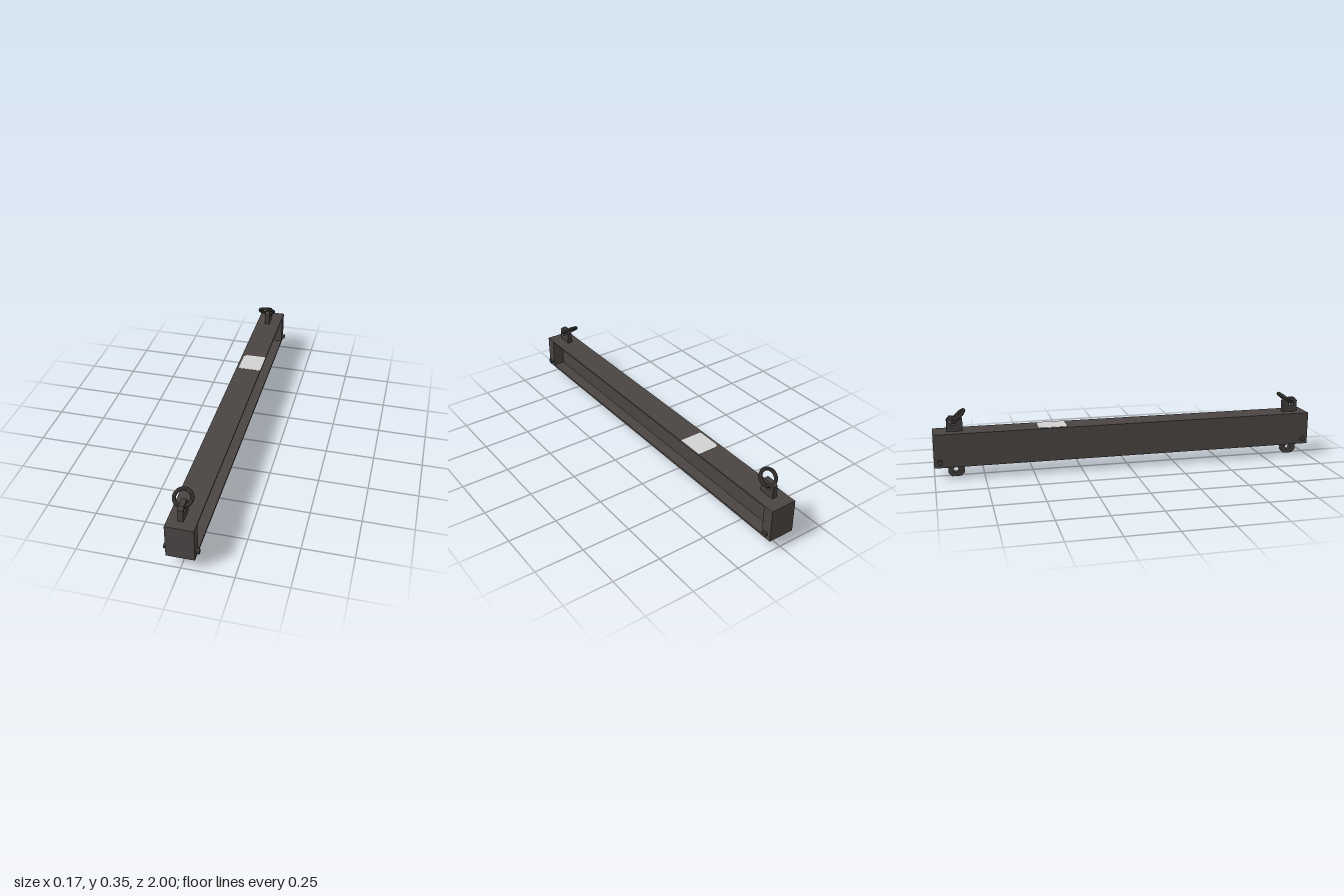
import * as THREE from 'three';

const steel = new THREE.MeshStandardMaterial({ color: 0x4a4543, flatShading: true });
steel.name = 'dark steel';
const hardware = new THREE.MeshStandardMaterial({ color: 0x423e3c, flatShading: true });
hardware.name = 'hardware steel';
const pale = new THREE.MeshStandardMaterial({ color: 0xd2d2d2, flatShading: true });
pale.name = 'pale grey';

function add(parent, name, geometry, material, x = 0, y = 0, z = 0) {
  const mesh = new THREE.Mesh(geometry, material);
  mesh.name = name;
  mesh.position.set(x, y, z);
  parent.add(mesh);
  return mesh;
}

// Closed outline from [u, v] points, with an optional round hole [u, v, r]
function outline(points, hole) {
  const shape = new THREE.Shape(points.map(([u, v]) => new THREE.Vector2(u, v)));
  if (hole) shape.holes.push(new THREE.Path().absarc(hole[0], hole[1], hole[2], 0, Math.PI * 2, true));
  return shape;
}

// Extrudes a (z, y) outline along x, from x0 to x1
function slab(shape, x0, x1) {
  const g = new THREE.ExtrudeGeometry(shape, { depth: x1 - x0, bevelEnabled: false, curveSegments: 8 });
  return g.rotateY(-Math.PI / 2).translate(x1, 0, 0);
}

const LUG_X0 = -0.019, LUG_X1 = 0.007;

export function createModel() {
  const model = new THREE.Group();
  model.name = 'liftingBeam';

  // Beam: channel open towards +x, closed by an end block at each end
  const channel = outline([
    [-0.068, 0.063], [0.068, 0.063], [0.068, 0.074], [0.008, 0.074],
    [0.008, 0.227], [0.068, 0.227], [0.068, 0.235], [-0.068, 0.235],
  ]);
  const beam = new THREE.ExtrudeGeometry(channel, { depth: 1.89, bevelEnabled: false });
  add(model, 'beamChannel', beam, steel, 0, 0, -0.945);

  for (const s of [1, -1]) {
    const end = new THREE.Group();
    end.name = s > 0 ? 'frontEnd' : 'backEnd';
    model.add(end);
    add(end, 'endBlock', new THREE.BoxGeometry(0.136, 0.172, 0.055), steel, 0, 0.149, s * 0.9725);

    // Side pins
    for (const side of [1, -1]) {
      const pin = new THREE.CylinderGeometry(0.013, 0.013, 0.016, 12).rotateZ(Math.PI / 2);
      add(end, 'sidePin', pin, hardware, side * 0.075, 0.093, s * 0.97);
    }

    // Lugs are laid out around their own centre in z
    const lugs = new THREE.Group();
    lugs.name = 'lugs';
    lugs.position.z = s > 0 ? 0.912 : -0.89;
    end.add(lugs);
    const top = outline([
      [-0.04, 0.23], [0.04, 0.23], [0.04, 0.296], [0.026, 0.312], [-0.026, 0.312], [-0.04, 0.296],
    ], [s * 0.008, 0.282, 0.015]);
    add(lugs, 'upperLug', slab(top, LUG_X0, LUG_X1), hardware);

    const bottom = outline([
      [-0.04, 0.07], [-0.04, 0.018], [-0.024, 0.001], [0.024, 0.001], [0.04, 0.018], [0.04, 0.07],
    ], [-0.003, 0.035, 0.014]);
    add(lugs, 'lowerLug', slab(bottom, LUG_X0, LUG_X1), hardware);

    // Pale painted faces of the lower lug
    const paint = outline([
      [-0.019, 0.063], [-0.019, 0.003], [0.024, 0.003], [0.04, 0.019], [0.04, 0.063],
    ], [-0.003, 0.035, 0.014]);
    add(lugs, 'lugSidePaint', slab(paint, LUG_X1, LUG_X1 + 0.001), pale);
    add(lugs, 'lugEdgePaint', new THREE.BoxGeometry(0.026, 0.044, 0.001), pale, -0.006, 0.041, 0.0405);

    // Lifting ring leaning towards the middle of the beam
    const ring = add(end, 'liftingRing', new THREE.TorusGeometry(0.041, 0.0095, 8, 24), hardware,
      -0.013, 0.312, s > 0 ? 0.881 : -0.871);
    ring.rotation.x = s > 0 ? -0.92 : 0.8;
  }

  // Label plate on the web
  const webLabel = outline([
    [-0.41, 0.222], [-0.41, 0.178], [-0.402, 0.17], [-0.273, 0.17], [-0.265, 0.178], [-0.265, 0.222],
  ]);
  add(model, 'webLabel', slab(webLabel, 0.008, 0.0095), pale);

  // Label plate on the top flange
  const topLabel = outline([
    [0.067, 0.325], [0.067, 0.47], [-0.04, 0.47], [-0.055, 0.452], [-0.055, 0.33], [-0.05, 0.325],
  ]);
  const topPlate = new THREE.ExtrudeGeometry(topLabel, { depth: 0.0015, bevelEnabled: false });
  add(model, 'topLabel', topPlate.rotateX(-Math.PI / 2), pale, 0, 0.235, 0);

  return model;
}
